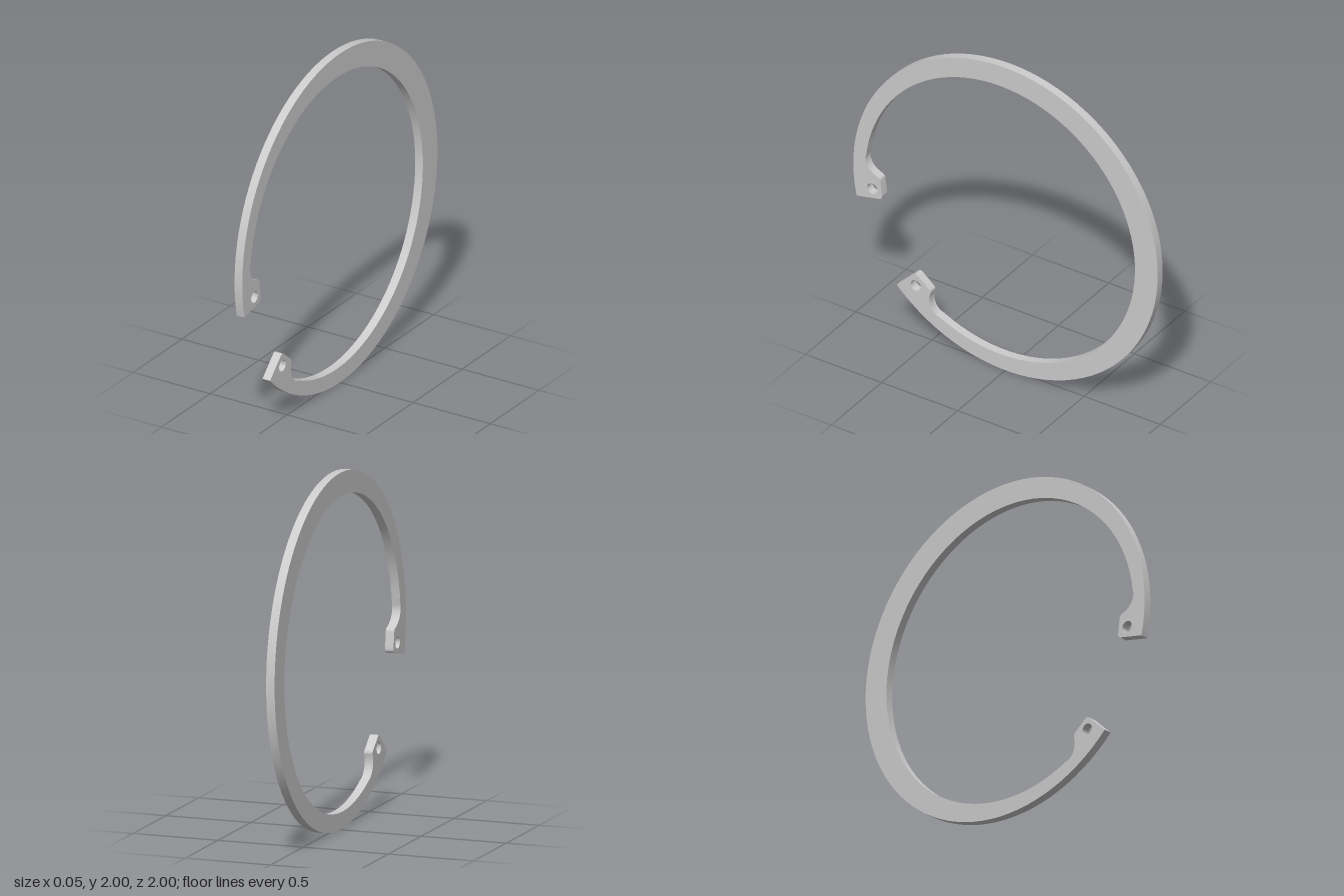
import * as THREE from 'three';
import { toCreasedNormals } from 'three/addons/utils/BufferGeometryUtils.js';

const THICKNESS = 0.05;
const GAP_AXIS = THREE.MathUtils.degToRad(-28.2); // direction of the ring's opening
const INNER_OFFSET = 0.04; // bore is shifted towards the opening
const INNER_RADIUS = 0.886;

// Point at a radius and an angle in degrees measured from the opening's axis
function polar(radius, degrees, shift = 0) {
  const a = THREE.MathUtils.degToRad(degrees);
  return new THREE.Vector2(shift + radius * Math.cos(a), radius * Math.sin(a));
}

function arc(radius, from, to, steps, shift = 0) {
  return Array.from({ length: steps + 1 }, (_, i) => polar(radius, from + ((to - from) * i) / steps, shift));
}

const mirror = (p) => new THREE.Vector2(p.x, -p.y);

// Lug outline, from its inner end corner to where it blends into the bore
function lugOutline() {
  const corner = polar(0.848, 16.2);
  const path = new THREE.Path([corner]);
  path.moveTo(corner.x, corner.y);
  const quad = (c, p) => path.quadraticCurveTo(c.x, c.y, p.x, p.y);
  quad(polar(0.825, 16.3), polar(0.824, 17.9));
  const shoulder = polar(0.824, 24.3);
  path.lineTo(shoulder.x, shoulder.y);
  quad(polar(0.824, 25.4), polar(0.842, 25.8));
  const c1 = polar(0.885, 26.9), c2 = polar(0.921, 29), end = polar(0.923, 32.4);
  path.bezierCurveTo(c1.x, c1.y, c2.x, c2.y, end.x, end.y);
  return path.getPoints(8);
}

export function createModel() {
  const group = new THREE.Group();
  group.name = 'retainingRing';

  // Tapered open ring with a lug at each end
  const lug = lugOutline();
  const shape = new THREE.Shape([
    ...arc(1, 16.2, 343.8, 90),
    ...lug.map(mirror),
    ...arc(INNER_RADIUS, 325, 35, 80, INNER_OFFSET),
    ...lug.slice().reverse(),
  ]);

  // Plier holes
  for (const side of [1, -1]) {
    const c = polar(0.883, 20.05 * side);
    shape.holes.push(new THREE.Path().absarc(c.x, c.y, 0.034, 0, Math.PI * 2, true));
  }

  const geometry = new THREE.ExtrudeGeometry(shape, { depth: THICKNESS, bevelEnabled: false, curveSegments: 24 });
  geometry.translate(0, 0, -THICKNESS / 2);
  geometry.rotateZ(GAP_AXIS);
  geometry.rotateY(-Math.PI / 2);
  geometry.translate(0, 1, 0);

  const ring = new THREE.Mesh(
    toCreasedNormals(geometry, Math.PI / 6),
    new THREE.MeshStandardMaterial({ color: 0xcccccc })
  );
  ring.name = 'ringWithLugs';
  group.add(ring);
  return group;
}
